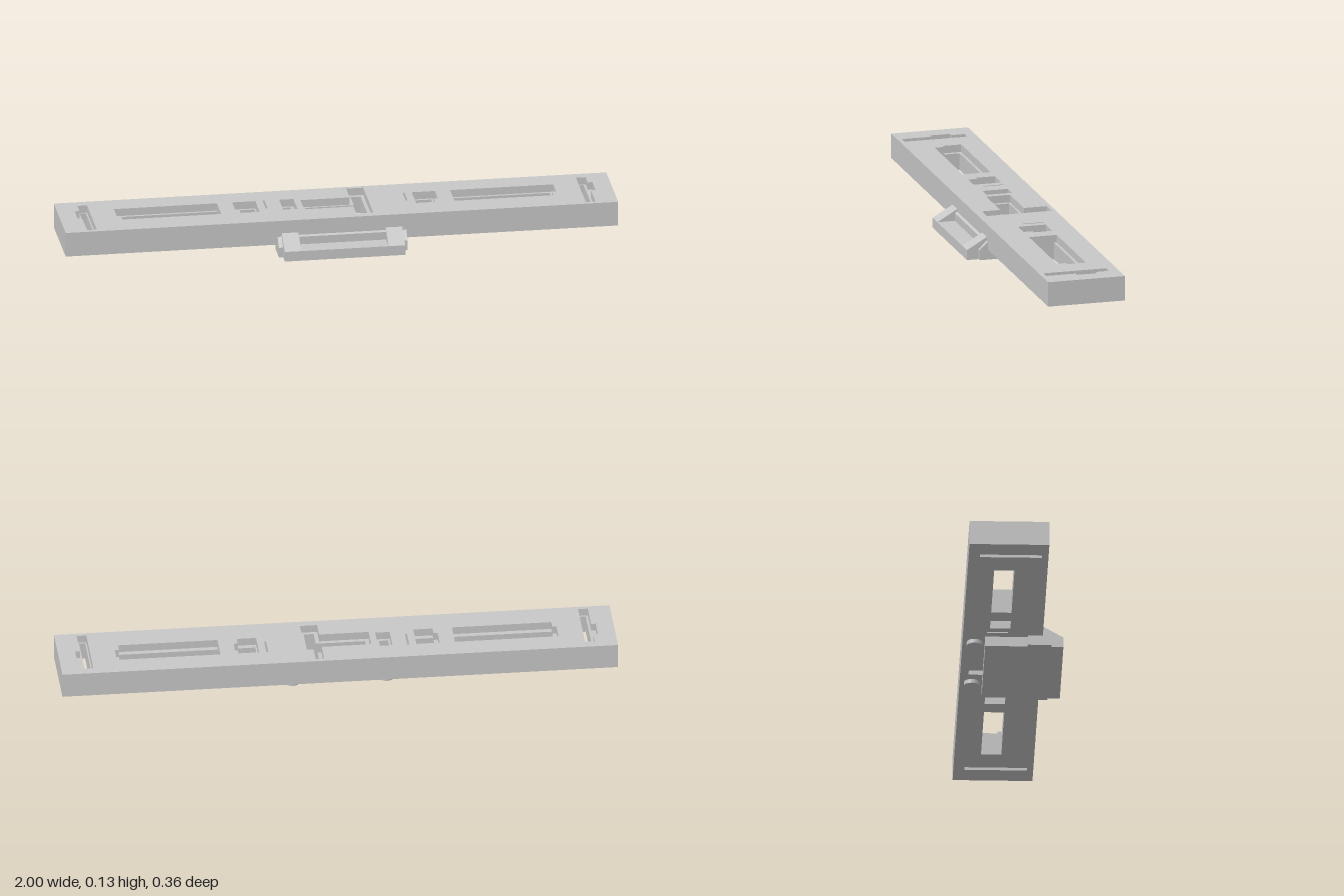
import * as THREE from 'three';

const gray = new THREE.MeshStandardMaterial({ color: 0xc8c8c8 });
gray.name = 'plain gray';

// Plan outlines as [x, z], counter-clockwise from above so that openings face inward
const rect = (x0, x1, z0, z1) => [[x0, z0], [x0, z1], [x1, z1], [x1, z0]];
const mirror = (pts) => pts.map(([x, z]) => [-x, z]).reverse();
const toPath = (Type, pts) => new Type(pts.map(([x, z]) => new THREE.Vector2(x, -z)));

// Horizontal slab from a plan outline, with openings
function slab(name, outline, holes, y0, y1) {
  const shape = toPath(THREE.Shape, outline);
  shape.holes = holes.map((h) => toPath(THREE.Path, h));
  const geo = new THREE.ExtrudeGeometry(shape, { depth: y1 - y0, bevelEnabled: false });
  geo.rotateX(-Math.PI / 2).translate(0, y0, 0);
  const mesh = new THREE.Mesh(geo, gray);
  mesh.name = name;
  return mesh;
}

// Side profile given as [z, y], extruded across x
function profile(name, pts, x0, x1) {
  const shape = new THREE.Shape(pts.map(([z, y]) => new THREE.Vector2(z, y)));
  const geo = new THREE.ExtrudeGeometry(shape, { depth: x1 - x0, bevelEnabled: false });
  geo.rotateY(-Math.PI / 2).translate(x1, 0, 0);
  const mesh = new THREE.Mesh(geo, gray);
  mesh.name = name;
  return mesh;
}

// Opening whose outer front corner is notched
const notched = (x0, x1) => [
  [x0, -0.095], [x1, -0.095], [x1, -0.025], [x1 - 0.015, -0.025], [x1 - 0.015, 0.008], [x0, 0.008],
];

export function createModel() {
  const group = new THREE.Group();
  const barOutline = rect(-1, 1, -0.18, 0.106);

  // Openings on the left half, wider above the ledge than below it
  const upperSide = [
    notched(0.422, 0.795),
    notched(0.283, 0.367),
    [[0.885, -0.145], [0.92, -0.145], [0.92, -0.095], [0.937, -0.095], [0.937, -0.02],
      [0.92, -0.02], [0.92, 0.09], [0.885, 0.09]],
  ];
  const lowerSide = [
    rect(0.422, 0.78, -0.085, -0.012),
    rect(0.288, 0.352, -0.085, -0.012),
    rect(0.89, 0.912, -0.14, 0.083),
  ];
  const slit = rect(0.25, 0.257, -0.095, -0.02);

  // Central openings, closed underneath by the clip plate
  const tee = (x0, x1, x2, za, zb, zc, zd) => [
    [x0, zb], [x1, zb], [x1, za], [x2, za], [x2, zd], [x1, zd], [x1, zc], [x0, zc],
  ];
  const upper = [
    ...upperSide, ...upperSide.map(mirror), slit, mirror(slit),
    rect(-0.197, -0.145, -0.095, 0.0),
    tee(-0.122, 0.056, 0.118, -0.165, -0.08, 0.008, 0.076),
  ];
  const lower = [
    ...lowerSide, ...lowerSide.map(mirror), slit, mirror(slit),
    rect(-0.19, -0.157, -0.085, -0.012),
    tee(-0.108, 0.07, 0.106, -0.15, -0.072, -0.008, 0.062),
  ];
  group.add(slab('barUpperLayer', barOutline, upper, 0.1, 0.128));
  group.add(slab('barLowerLayer', barOutline, lower, 0.037, 0.1));

  // Clip plate under the bar, with a low rib against the bar's front
  group.add(slab('clipPlate', rect(-0.218, 0.218, -0.1, 0.18), [], 0, 0.037));
  group.add(profile('clipRib', [[0.1, 0.037], [0.115, 0.037], [0.115, 0.066], [0.1, 0.073]], -0.16, 0.16));

  for (const s of [-1, 1]) {
    const span = (a, b) => (s > 0 ? [a, b] : [-b, -a]);
    // Sloped lug and side wing at each end of the clip
    group.add(profile('clipLug', [[0.1, 0.037], [0.18, 0.037], [0.106, 0.08], [0.1, 0.08]], ...span(0.158, 0.218)));
    group.add(profile('clipWing', [[0.052, 0], [0.137, 0], [0.137, 0.037], [0.106, 0.067], [0.1, 0.067],
      [0.1, 0.037], [0.052, 0.037]], ...span(0.218, 0.233)));

    // Round foot behind the clip
    const foot = new THREE.Mesh(new THREE.CylinderGeometry(0.028, 0.028, 0.015, 32), gray);
    foot.name = 'roundFoot';
    foot.position.set(s * 0.17, 0.0295, -0.137);
    group.add(foot);
  }
  return group;
}
